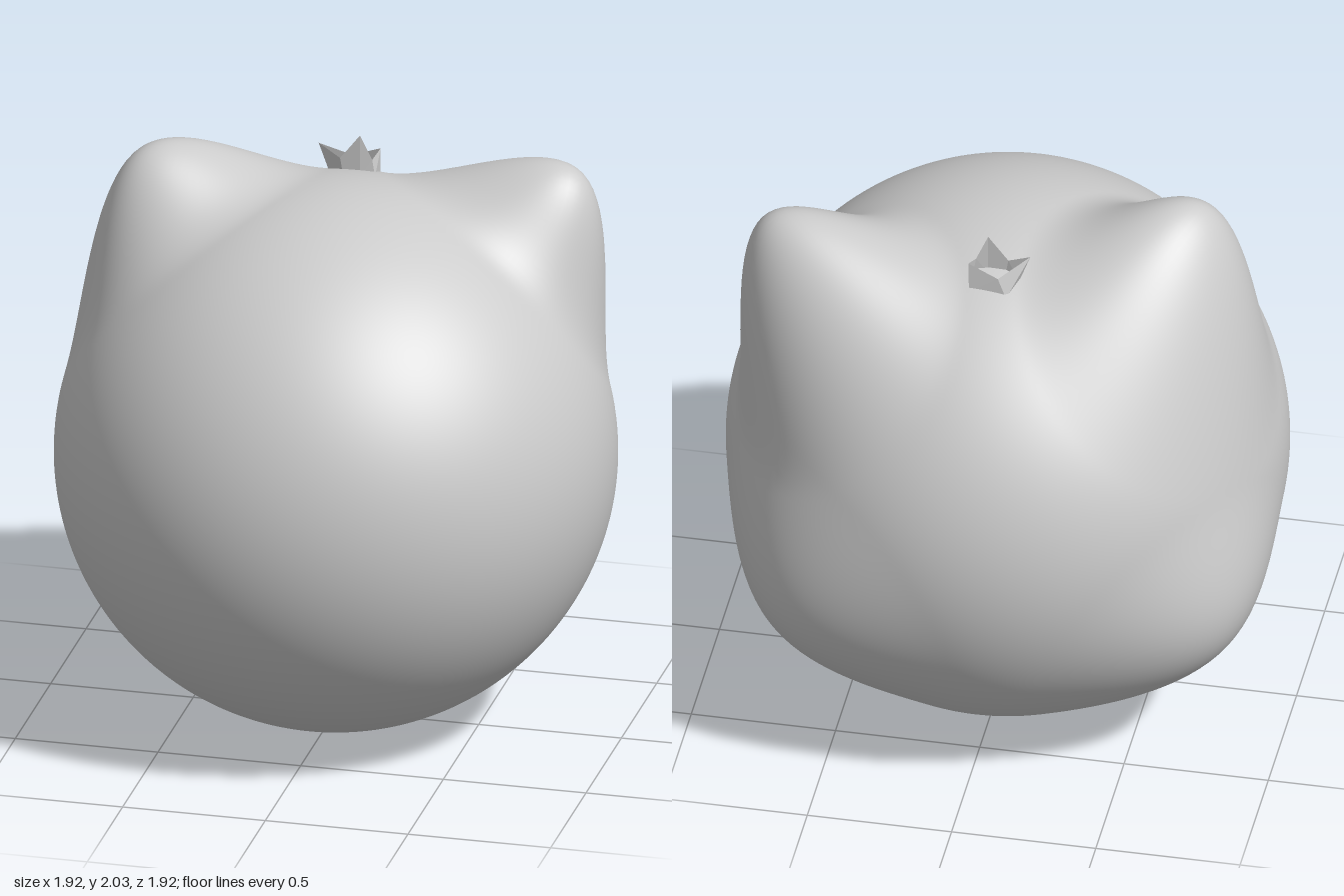
import * as THREE from 'three';
import { mergeVertices } from 'three/addons/utils/BufferGeometryUtils.js';

const R = 0.96;

// Soft pulls on the ball: centre, offset, reach (relative to the ball's centre)
const pulls = [
  { at: [-0.64, 0.68, -0.20], by: [-0.06, 0.34, 0.16], reach: 0.60 },   // right ear
  { at: [0.57, 0.645, -0.42], by: [0.21, 0.335, 0.11], reach: 0.55 },   // left ear
  { at: [0.60, -0.32, -0.67], by: [0.06, -0.03, -0.07], reach: 0.62 },  // left rear bulge
  { at: [-0.73, -0.44, -0.44], by: [-0.10, 0.01, -0.07], reach: 0.62 }, // right rear bulge
].map(p => ({ at: new THREE.Vector3(...p.at), by: new THREE.Vector3(...p.by), reach: p.reach }));

function bodyGeometry() {
  const ball = new THREE.SphereGeometry(R, 160, 112);
  ball.deleteAttribute('uv');
  ball.deleteAttribute('normal');
  const geo = mergeVertices(ball, 1e-5);
  const pos = geo.attributes.position;
  const v = new THREE.Vector3(), out = new THREE.Vector3();
  for (let i = 0; i < pos.count; i++) {
    v.fromBufferAttribute(pos, i);
    out.copy(v);
    for (const p of pulls) {
      const t = Math.max(0, 1 - v.distanceTo(p.at) / p.reach);
      out.addScaledVector(p.by, t * t * (3 - 2 * t));
    }
    pos.setXYZ(i, out.x, out.y, out.z);
  }
  geo.computeVertexNormals();
  return geo;
}

// Tiny open crown: a base ring and a rim that alternates between tips and notches
function crownGeometry() {
  const rim = [
    [-0.14, 1.95, -0.32], [-0.06, 1.91, -0.30],
    [0.01, 2.0, -0.30], [0.05, 1.91, -0.31],
    [0.065, 1.93, -0.37], [-0.04, 1.89, -0.385],
  ];
  const base = [
    [-0.10, 1.84, -0.32], [-0.05, 1.85, -0.30],
    [0.01, 1.85, -0.30], [0.06, 1.85, -0.31],
    [0.06, 1.82, -0.385], [-0.07, 1.82, -0.395],
  ];
  const verts = [];
  rim.forEach((_, i) => {
    const j = (i + 1) % rim.length;
    verts.push(...base[i], ...base[j], ...rim[j], ...base[i], ...rim[j], ...rim[i]);
  });
  const geo = new THREE.BufferGeometry();
  geo.setAttribute('position', new THREE.Float32BufferAttribute(verts, 3));
  geo.computeVertexNormals();
  return geo;
}

export function createModel() {
  const group = new THREE.Group();
  group.name = 'roundCatHead';

  const body = new THREE.Mesh(bodyGeometry(), new THREE.MeshStandardMaterial({ color: 0xcccccc }));
  body.name = 'headWithEars';
  body.position.y = R;
  group.add(body);

  const crown = new THREE.Mesh(crownGeometry(), new THREE.MeshStandardMaterial({
    color: 0xcccccc, flatShading: true, side: THREE.DoubleSide,
  }));
  crown.name = 'crown';
  group.add(crown);
  return group;
}
